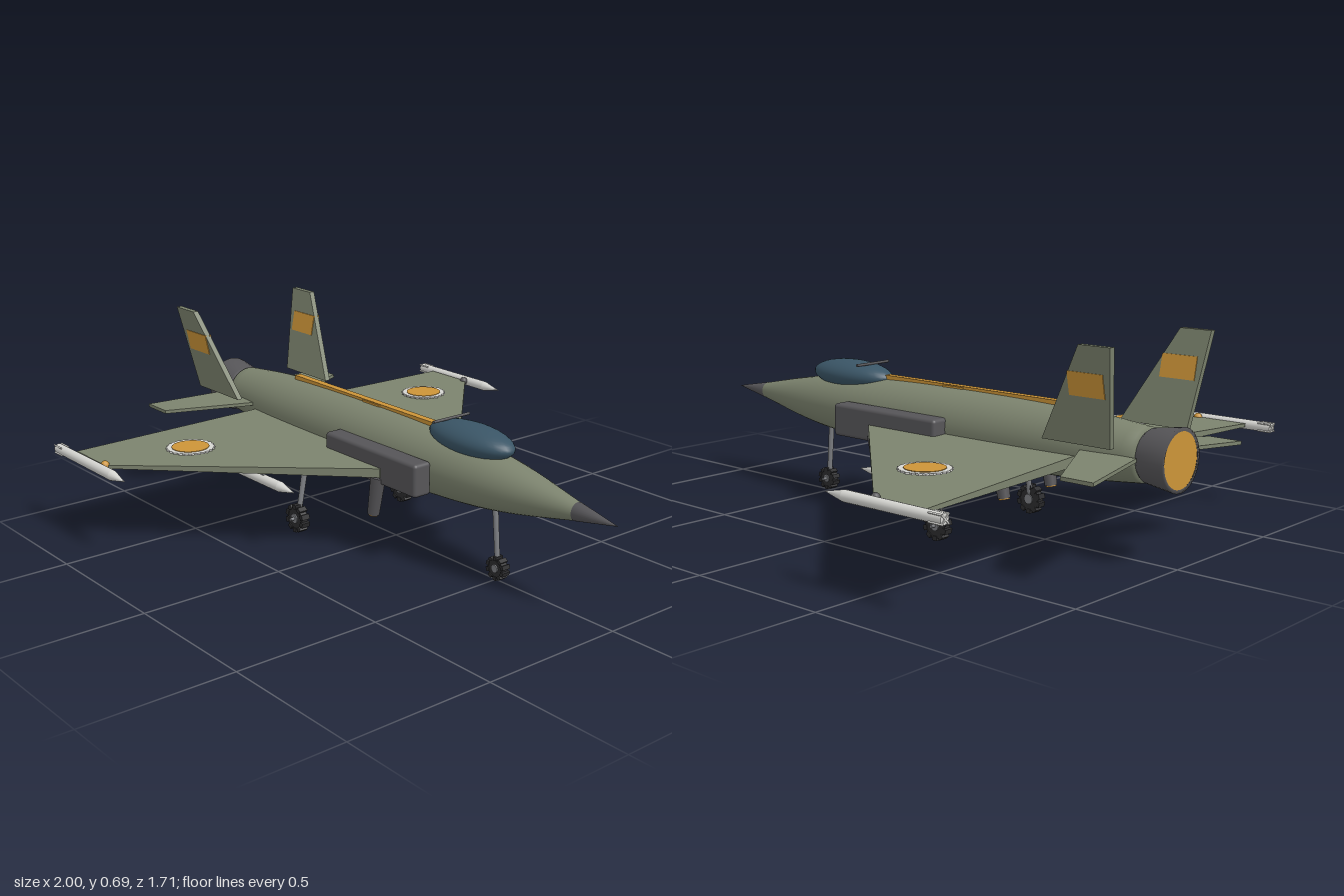
import * as THREE from 'three';
import { RoundedBoxGeometry } from 'three/addons/geometries/RoundedBoxGeometry.js';
import { ConvexGeometry } from 'three/addons/geometries/ConvexGeometry.js';

const mat = (name, color) => new THREE.MeshStandardMaterial({ name, color });
const AXIS = 0.335; // height of the fuselage centreline

export function createModel() {
  const olive = mat('olive', 0x7c836e);
  const orange = mat('orange', 0xcc9438);
  const gunmetal = mat('gunmetal', 0x565558);
  const glass = mat('canopy blue', 0x3a5566);
  const white = mat('missile white', 0xd6d6d2);
  const rubber = mat('rubber', 0x2c2c2e);
  const steel = mat('steel', 0x7c7e82);

  const jet = new THREE.Group();
  jet.name = 'jet';

  const add = (name, geo, material, x = 0, y = 0, z = 0, parent = jet) => {
    const m = new THREE.Mesh(geo, material);
    m.name = name;
    m.position.set(x, y, z);
    parent.add(m);
    return m;
  };
  // Body of revolution about the x axis from [x, radius] pairs
  const spun = (pts, seg = 32) =>
    new THREE.LatheGeometry(pts.map(([x, r]) => new THREE.Vector2(r, x)), seg).rotateZ(-Math.PI / 2);
  // Solid slab hull from [x, y, z] corners
  const hull = (pts) => new ConvexGeometry(pts.map((p) => new THREE.Vector3(...p)));
  // Cylinder between two points
  const rod = (name, a, b, rA, rB, material, seg = 12) => {
    const p = new THREE.Vector3(...a), q = new THREE.Vector3(...b);
    const d = q.clone().sub(p);
    const m = add(name, new THREE.CylinderGeometry(rB, rA, d.length(), seg), material);
    m.position.copy(p).add(q).multiplyScalar(0.5);
    m.quaternion.setFromUnitVectors(new THREE.Vector3(0, 1, 0), d.normalize());
    return m;
  };

  // Fuselage, nose cone and exhaust
  const profile = new THREE.SplineCurve([
    [-0.88, 0.087], [-0.65, 0.108], [-0.4, 0.117], [-0.1, 0.119], [0.15, 0.115],
    [0.4, 0.102], [0.6, 0.077], [0.84, 0.029],
  ].map((p) => new THREE.Vector2(...p))).getPoints(32).map((v) => [v.x, v.y]);
  add('fuselage', spun([[-0.895, 0], [-0.895, 0.075], ...profile]), olive, 0, AXIS);
  add('noseCone', spun([[0.84, 0], [0.84, 0.03], [1, 0.0005]], 24), gunmetal, 0, AXIS);
  add('exhaustNozzle', spun([[-1, 0.088], [-1, 0.1], [-0.9, 0.085], [-0.88, 0.07]]), gunmetal, 0, AXIS);
  const glow = add('exhaustGlow', new THREE.CylinderGeometry(0.09, 0.09, 0.008, 32), orange, -0.994, AXIS);
  glow.rotation.z = Math.PI / 2;

  // Spine stripe, its small hatch, canopy and canopy bar
  add('spineStripe', new THREE.BoxGeometry(0.77, 0.02, 0.026), orange, -0.175, 0.452);
  add('spineHatch', new THREE.BoxGeometry(0.09, 0.012, 0.034), orange, -0.115, 0.453);
  add('canopy', new THREE.SphereGeometry(1, 32, 20), glass, 0.375, 0.447).scale.set(0.183, 0.052, 0.079);
  rod('canopyBar', [0.278, 0.494, -0.077], [0.278, 0.494, 0.077], 0.005, 0.005, gunmetal, 8);

  // Scalloped disc for the wing roundels
  const scallop = new THREE.Shape();
  for (let i = 0; i < 96; i++) {
    const a = (i / 96) * Math.PI * 2;
    const r = 0.081 + 0.003 * Math.cos(a * 24);
    scallop[i ? 'lineTo' : 'moveTo'](Math.cos(a) * r, Math.sin(a) * r);
  }
  const scallopGeo = new THREE.ExtrudeGeometry(scallop, { depth: 0.006, bevelEnabled: false }).rotateX(-Math.PI / 2);

  // Missile pointing along +x, length measured from its tail
  const missile = (name, x, y, z, length) => {
    const g = new THREE.Group();
    g.name = name;
    g.position.set(x, y, z);
    jet.add(g);
    add('missileBody', spun([[0, 0], [0, 0.016], [0.001, 0.017], [length - 0.08, 0.018]], 16), white, 0, 0, 0, g);
    add('missileNose', spun([[length - 0.08, 0.018], [length, 0.0005]], 16), white, 0, 0, 0, g);
    for (let i = 0; i < 2; i++) {
      add('missileFins', new THREE.BoxGeometry(0.05, 0.042, 0.005), white, 0.022, 0, 0, g)
        .rotation.x = Math.PI / 4 + (i * Math.PI) / 2;
    }
  };

  // Treaded wheel with a hub that sticks out on one side
  const wheel = (name, x, y, z, r, side) => {
    const g = new THREE.Group();
    g.name = name;
    g.position.set(x, y, z);
    jet.add(g);
    add('tyre', new THREE.CylinderGeometry(r * 0.84, r * 0.84, 0.026, 20).rotateX(Math.PI / 2), rubber, 0, 0, 0, g);
    for (let i = 0; i < 10; i++) {
      const a = (i / 10) * Math.PI * 2 + Math.PI / 2;
      add('treadBlock', new THREE.BoxGeometry(r * 0.3, r * 0.36, 0.032), rubber,
        Math.cos(a) * r * 0.84, Math.sin(a) * r * 0.84, 0, g).rotation.z = a;
    }
    add('hub', new THREE.CylinderGeometry(r * 0.35, r * 0.35, 0.034, 12).rotateX(Math.PI / 2), steel, 0, 0, 0, g);
    add('axle', new THREE.CylinderGeometry(0.006, 0.006, 0.04, 8).rotateX(Math.PI / 2), steel, 0, 0, side * 0.012, g);
  };

  for (const s of [1, -1]) {
    const side = s > 0 ? 'left' : 'right';

    // Main wing, thinning and drooping toward the tip
    const wing = [];
    for (const [x, z] of [[0.125, 0.08], [0.125, 0.175], [-0.54, 0.815], [-0.735, 0.815], [-0.688, 0.08]]) {
      const t = (z - 0.08) / 0.735;
      const top = 0.321 - 0.025 * t, thick = 0.034 - 0.022 * t;
      wing.push([x, top, s * z], [x, top - thick, s * z]);
    }
    add(side + 'Wing', hull(wing), olive);
    add(side + 'RoundelRing', scallopGeo, white, -0.465, 0.314, s * 0.527);
    add(side + 'RoundelCentre', new THREE.CylinderGeometry(0.064, 0.064, 0.006, 32), orange, -0.465, 0.319, s * 0.527);
    add(side + 'WingLight', new THREE.SphereGeometry(0.015, 12, 8), s > 0 ? orange : gunmetal, -0.545, 0.295, s * 0.812);

    // Tailplane
    const stab = [];
    for (const [x, y, z] of [[-0.7, 0.336, 0.09], [-0.855, 0.325, 0.39], [-0.97, 0.325, 0.39], [-0.905, 0.336, 0.09]])
      stab.push([x, y + 0.006, s * z], [x, y - 0.006, s * z]);
    add(side + 'Tailplane', hull(stab), olive);

    // Outward-leaning fin, with a patch showing on both faces
    const finZ = (y) => 0.2 + ((y - 0.385) / 0.305) * 0.063;
    const slab = (pts, half) => hull(pts.flatMap(([x, y]) =>
      [[x, y, s * (finZ(y) - half)], [x, y, s * (finZ(y) + half)]]));
    add(side + 'Fin', slab([[-0.895, 0.385], [-0.645, 0.385], [-0.82, 0.69], [-0.932, 0.69]], 0.01), olive);
    for (const face of [1, -1]) {
      const patch = add(side + 'FinPatch',
        slab([[-0.897, 0.535], [-0.77, 0.535], [-0.77, 0.608], [-0.897, 0.608]], 0.003), orange);
      patch.position.z = face * 0.0095;
    }

    // Side intake
    add(side + 'Intake', new RoundedBoxGeometry(0.47, 0.112, 0.07, 3, 0.012), gunmetal, 0.063, 0.316, s * 0.137);

    // Lift nozzles with glowing ends
    for (const [place, x, z] of [['Front', 0.08, 0.165], ['Rear', -0.427, 0.12]]) {
      rod(side + place + 'LiftNozzle', [x, 0.148, s * z], [x + 0.026, 0.285, s * z], 0.021, 0.026, gunmetal);
      rod(side + place + 'LiftGlow', [x - 0.001, 0.144, s * z], [x, 0.149, s * z], 0.018, 0.018, orange);
    }

    // Wingtip missile, underwing missile and its pylon
    missile(side + 'WingtipMissile', -0.825, 0.289, s * 0.838, 0.455);
    missile(side + 'UnderwingMissile', -0.44, 0.233, s * 0.39, 0.385);
    add(side + 'Pylon', new THREE.BoxGeometry(0.13, 0.06, 0.01), steel, -0.29, 0.272, s * 0.39);

    // Main gear
    rod(side + 'MainStrut', [-0.25, 0.275, s * 0.193], [-0.25, 0.05, s * 0.236], 0.011, 0.009, steel);
    wheel(side + 'MainWheel', -0.25, 0.052, s * 0.238, 0.05, s);
  }

  // Nose gear
  rod('noseStrut', [0.49, 0.26, 0], [0.507, 0.045, 0], 0.01, 0.009, steel);
  wheel('noseWheel', 0.508, 0.046, 0, 0.04, -1);

  return jet;
}
